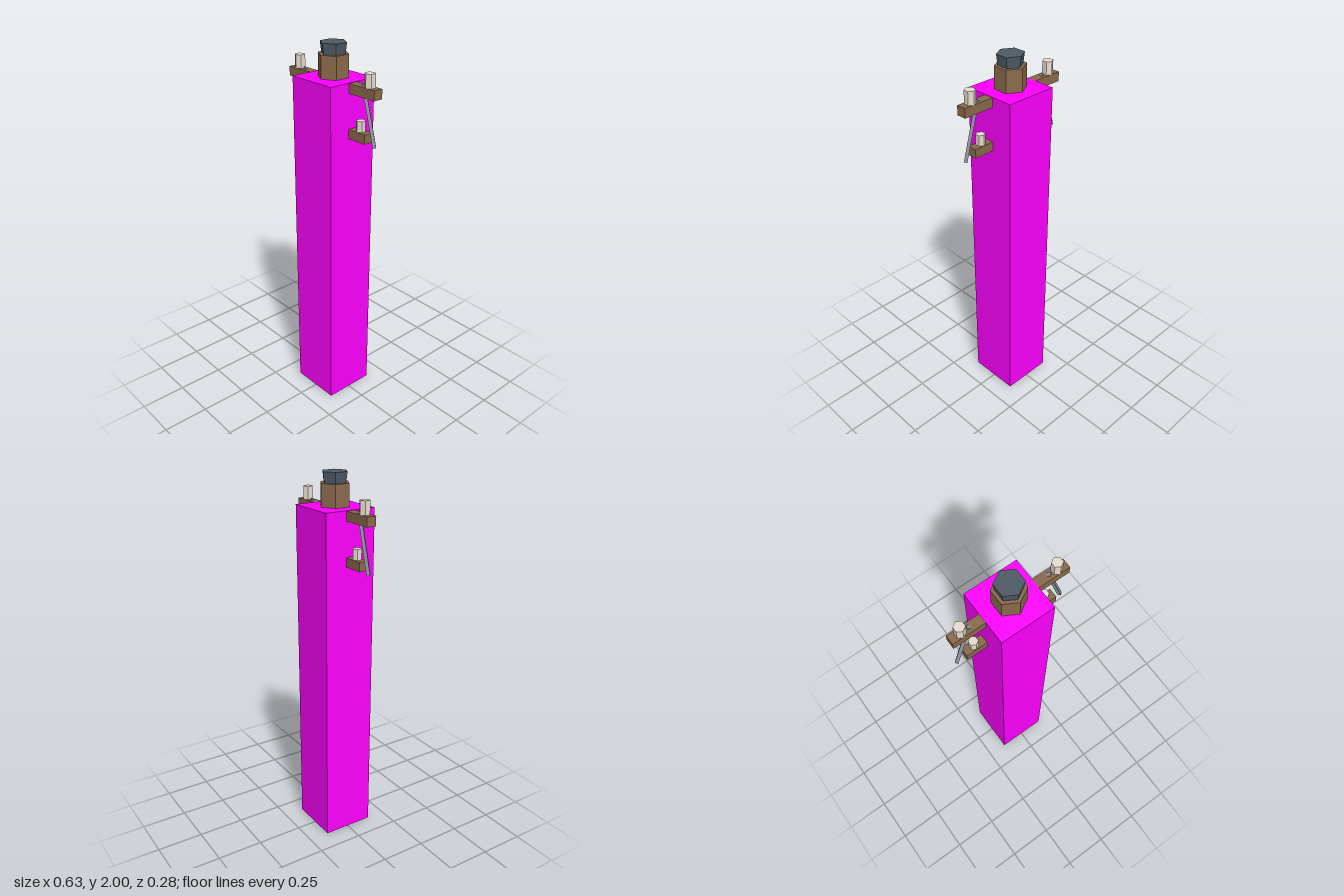
import * as THREE from 'three';

const paint = (color) => new THREE.MeshStandardMaterial({ color, flatShading: true });

export function createModel() {
  const model = new THREE.Group();
  const magenta = paint(0xff00ff);
  const wood = paint(0x8b6a4c);
  const slate = paint(0x4f5b66);
  const ceramic = paint(0xe8dfcf);
  const steel = paint(0x8a939b);
  const dark = paint(0x444448);

  const add = (name, geometry, material, x, y, z = 0) => {
    const mesh = new THREE.Mesh(geometry, material);
    mesh.name = name;
    mesh.position.set(x, y, z);
    model.add(mesh);
    return mesh;
  };
  const box = (name, w, y0, y1, d, material) =>
    add(name, new THREE.BoxGeometry(w, y1 - y0, d), material, 0, (y0 + y1) / 2);
  // Hexagonal prism with its corners toward +z and -z
  const hex = (name, rTop, rBottom, x, y0, y1, material) =>
    add(name, new THREE.CylinderGeometry(rTop, rBottom, y1 - y0, 6), material, x, (y0 + y1) / 2);

  // Square column and its foot plate
  box('column', 0.284, 0.006, 1.83, 0.284, magenta);
  box('footPlate', 0.226, 0, 0.02, 0.226, dark);

  // Pole top and cap
  hex('poleTop', 0.08, 0.08, 0, 1.8, 1.945, wood);
  hex('poleCap', 0.069, 0.062, 0, 1.945, 2, slate);

  // Crossarms passing through the column
  box('upperCrossarm', 0.626, 1.779, 1.828, 0.052, wood);
  box('lowerCrossarm', 0.51, 1.552, 1.6, 0.05, wood);

  for (const side of [-1, 1]) {
    // Insulators standing on the arms
    hex('upperInsulator', 0.028, 0.028, side * 0.257, 1.828, 1.896, ceramic);
    hex('lowerInsulator', 0.024, 0.024, side * 0.2, 1.6, 1.655, ceramic);

    // Slanted square brace
    const top = new THREE.Vector3(side * 0.213, 1.834, 0);
    const bottom = new THREE.Vector3(side * 0.298, 1.54, 0);
    const along = top.clone().sub(bottom);
    const mid = top.clone().add(bottom).multiplyScalar(0.5);
    const brace = add('brace', new THREE.CylinderGeometry(0.012, 0.012, along.length(), 4), steel, mid.x, mid.y);
    brace.quaternion.setFromUnitVectors(new THREE.Vector3(0, 1, 0), along.normalize());
  }
  return model;
}
